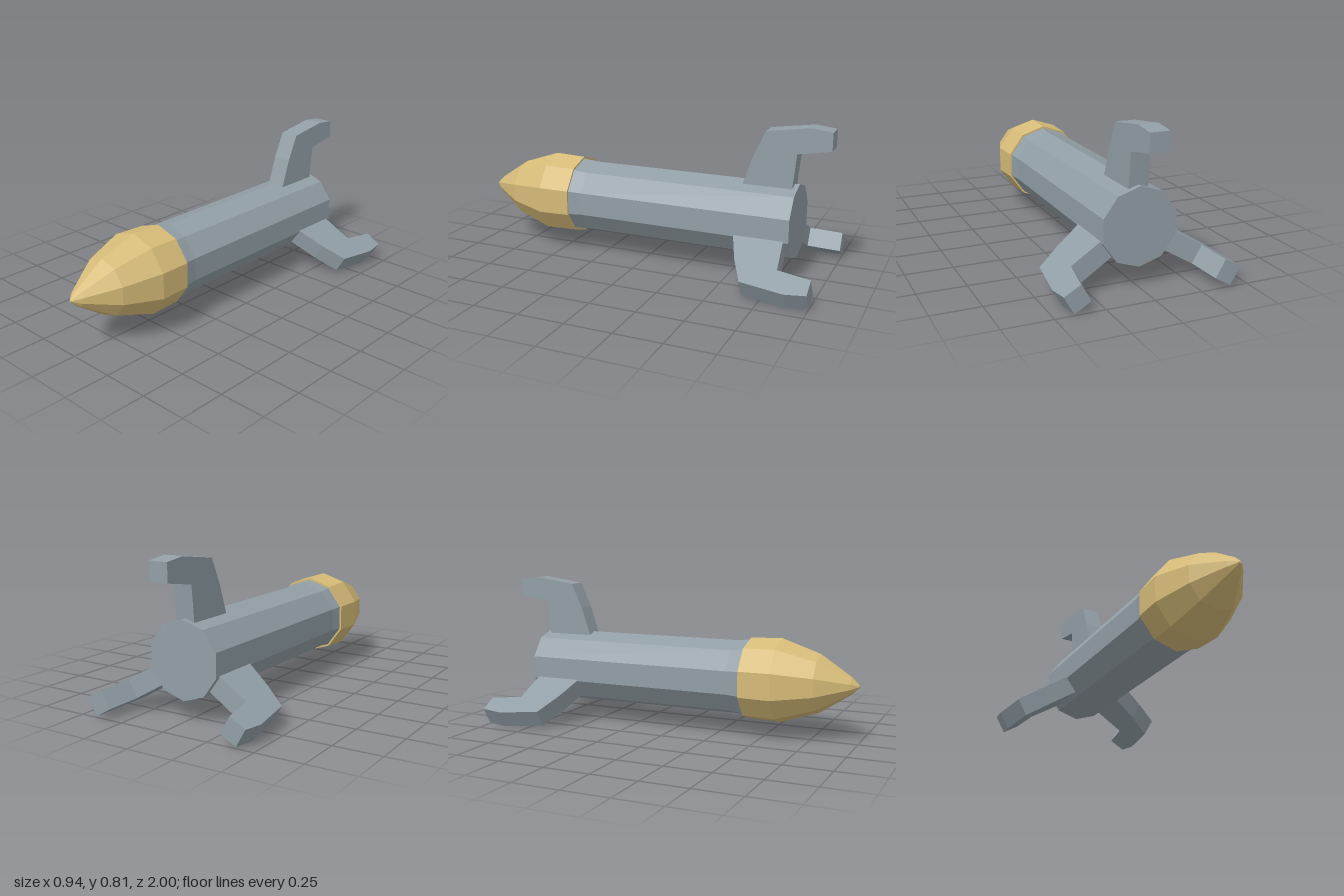
import * as THREE from 'three';

const steel = new THREE.MeshStandardMaterial({ color: 0x929fa6 });
steel.name = 'steel grey';
const brass = new THREE.MeshStandardMaterial({ color: 0xd6bb78 });
brass.name = 'brass';

const SIDES = 10;
const AXIS_Y = 0.308; // height of the long axis

// Faceted mesh: one normal per face
function facetedMesh(geometry, material, name) {
  const flat = geometry.index ? geometry.toNonIndexed() : geometry;
  flat.computeVertexNormals();
  const mesh = new THREE.Mesh(flat, material);
  mesh.name = name;
  return mesh;
}

// Ten-sided turned part along z, from [radius, z] pairs running back to front
function turnedPart(profile, material, name) {
  const points = profile.map(([r, z]) => new THREE.Vector2(r, z));
  const geometry = new THREE.LatheGeometry(points, SIDES).rotateX(Math.PI / 2);
  const mesh = facetedMesh(geometry, material, name);
  mesh.position.y = AXIS_Y;
  return mesh;
}

// Hooked fin outline as [z, distance from the axis]
const FIN_OUTLINE = [
  [-0.535, 0.17], [-0.545, 0.19], [-0.597, 0.342], [-0.66, 0.478], [-0.89, 0.511],
  [-1, 0.498], [-1, 0.402], [-0.825, 0.372], [-0.806, 0.17],
];
const FIN_WIDTH = 0.103;

function finGeometry() {
  const shape = new THREE.Shape(FIN_OUTLINE.map(([z, r]) => new THREE.Vector2(z, r)));
  return new THREE.ExtrudeGeometry(shape, { depth: FIN_WIDTH, bevelEnabled: false })
    .translate(0, 0, -FIN_WIDTH / 2)
    .rotateY(-Math.PI / 2);
}

export function createModel() {
  const model = new THREE.Group();
  model.name = 'rocket';

  // Straight tube with a closed back and a flared collar
  model.add(turnedPart(
    [[0, -0.835], [0.2, -0.835], [0.2, 0.34], [0.209, 0.418]],
    steel, 'body'));

  // Pointed nose, slightly wider than the collar
  model.add(turnedPart(
    [[0, 0.415], [0.219, 0.415], [0.225, 0.588], [0.155, 0.795], [0.045, 0.96], [0.006, 1], [0, 1]],
    brass, 'noseCone'));

  // Three fins spaced evenly round the tail
  const fin = finGeometry();
  ['topFin', 'rightFin', 'leftFin'].forEach((name, i) => {
    const mesh = facetedMesh(fin.clone(), steel, name);
    mesh.position.y = 0.304;
    mesh.rotation.z = i * Math.PI * 2 / 3;
    model.add(mesh);
  });

  return model;
}
